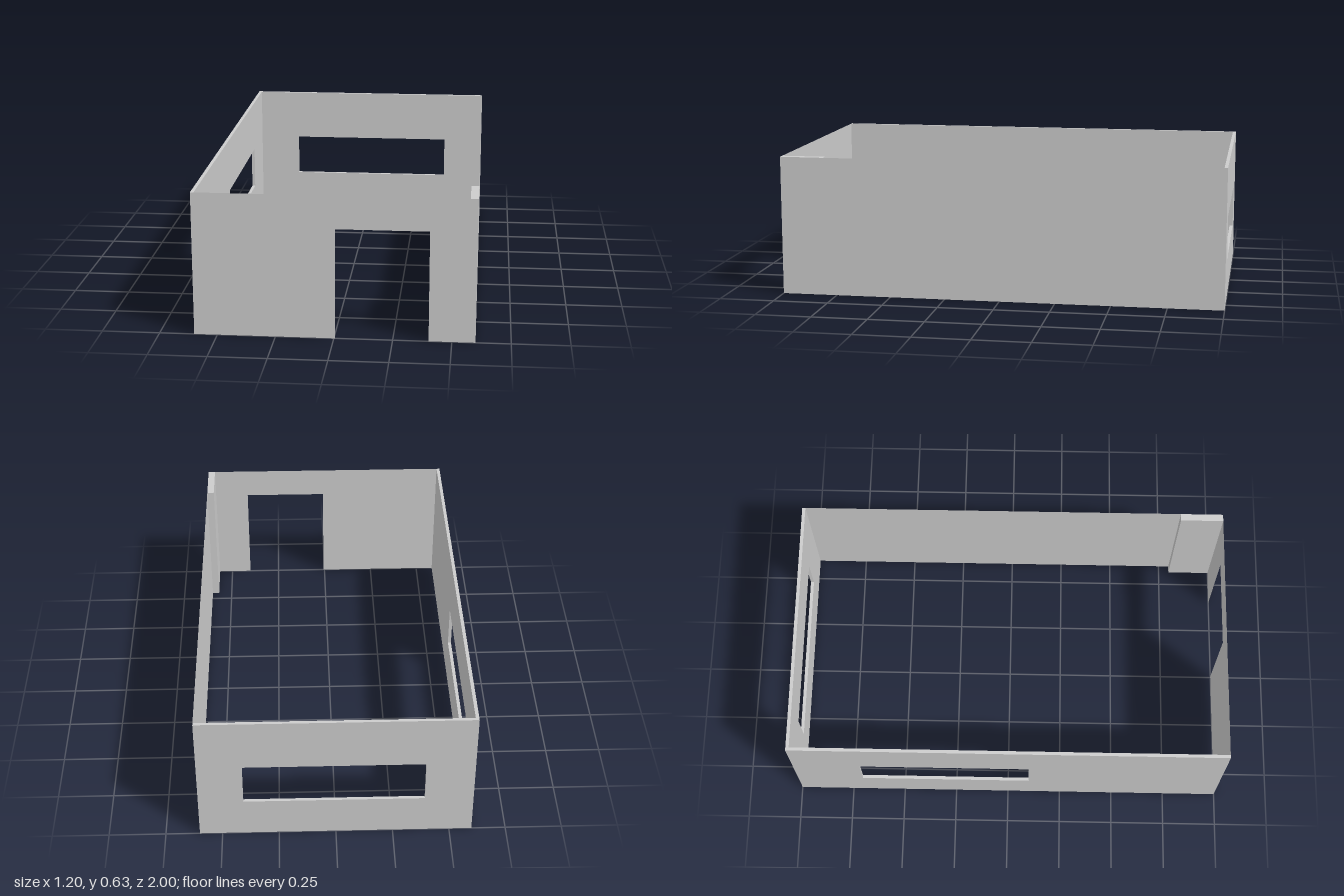
import * as THREE from 'three';

const H = 0.63, W = 0.6, L = 1, T = 0.015;

// Rectangle from (x0, y0) to (x1, y1) as a path or shape
function rect(x0, y0, x1, y1, Type = THREE.Shape) {
  return new Type([[x0, y0], [x1, y0], [x1, y1], [x0, y1]].map(([x, y]) => new THREE.Vector2(x, y)));
}

// Thick wall panel with one window between u0 and u1
function windowWall(start, end, u0, u1) {
  const shape = rect(start, 0, end, H);
  shape.holes.push(rect(u0, 0.187, u1, 0.386, THREE.Path));
  return new THREE.ExtrudeGeometry(shape, { depth: T, bevelEnabled: false });
}

export function createModel() {
  const group = new THREE.Group();
  const solid = new THREE.MeshStandardMaterial({ color: 0xcccccc });
  const sheet = new THREE.MeshStandardMaterial({ color: 0xcccccc, side: THREE.DoubleSide });

  const add = (name, geometry, material, x, y, z) => {
    const mesh = new THREE.Mesh(geometry, material);
    mesh.name = name;
    mesh.position.set(x, y, z);
    group.add(mesh);
  };

  // Back wall and right wall, each with a window
  add('backWall', windowWall(-W, W, -0.387, 0.403), solid, 0, 0, -L);
  add('rightWall', windowWall(-L + T, L, -0.69, 0.097).rotateY(-Math.PI / 2), solid, -W + T, 0, 0);

  // Thin front wall with a doorway open to the ground
  const door = [[-W, 0], [0.006, 0], [0.006, 0.485], [0.402, 0.485], [0.402, 0], [W, 0], [W, H], [-W, H]];
  const front = new THREE.Shape(door.map(([x, y]) => new THREE.Vector2(x, y)));
  add('frontWall', new THREE.ShapeGeometry(front), sheet, 0, 0, L);

  // Thin plain left wall
  add('leftWall', new THREE.PlaneGeometry(2 * L, H).rotateY(Math.PI / 2), sheet, W, H / 2, 0);

  // Short thick pier in the front left corner
  add('cornerPier', new THREE.BoxGeometry(0.033, H, 0.2), solid, W - 0.0165, H / 2, L - 0.1);

  return group;
}
